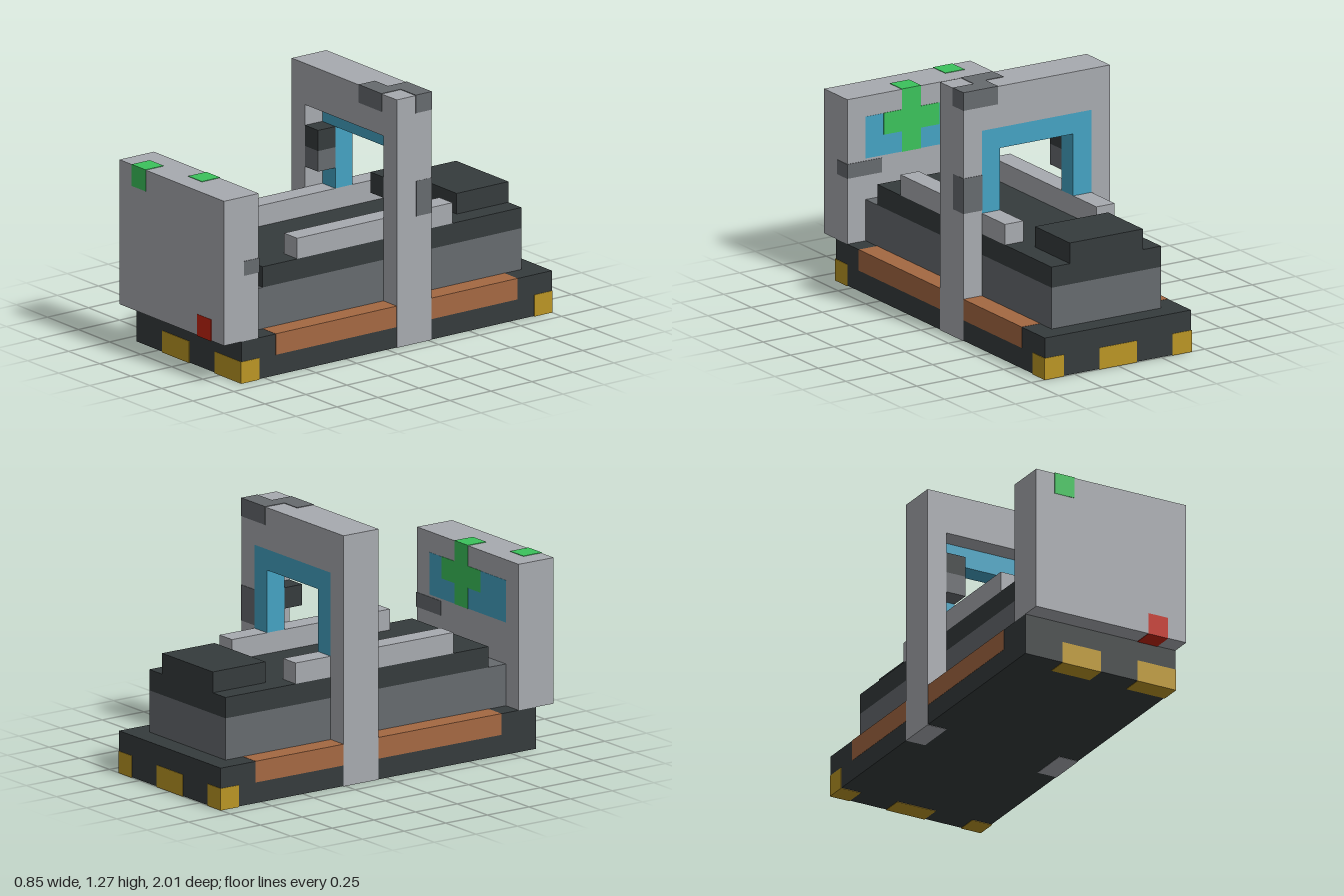
import * as THREE from 'three';

const U = 2 / 19; // one block of the grid

const paint = (name, color) => {
  const m = new THREE.MeshStandardMaterial({ color });
  m.name = name;
  return m;
};

export function createModel() {
  const group = new THREE.Group();
  const lightGrey = paint('lightGrey', 0xa7aaaf);
  const midGrey = paint('midGrey', 0x666a6e);
  const dark = paint('darkGrey', 0x353b3c);
  const copper = paint('copper', 0xa46842);
  const yellow = paint('yellow', 0xba9524);
  const cyan = paint('cyan', 0x44a2c2);
  const green = paint('green', 0x3bc25b);
  const red = paint('red', 0xc2240f);

  const add = (name, geometry, material) => {
    const mesh = new THREE.Mesh(geometry, material);
    mesh.name = name;
    group.add(mesh);
  };

  // Box between block coordinates; "grow" lifts painted patches off the surface
  const box = (name, material, [x0, x1], [y0, y1], [z0, z1], grow = 0) => {
    const g = new THREE.BoxGeometry(
      (x1 - x0 + 2 * grow) * U, (y1 - y0 + 2 * grow) * U, (z1 - z0 + 2 * grow) * U);
    g.translate((x0 + x1) / 2 * U, (y0 + y1) / 2 * U, (z0 + z1) / 2 * U);
    add(name, g, material);
  };
  const patch = (name, material, x, y, z) => box(name, material, x, y, z, 0.025);

  // Upside-down U, extruded along z
  const portal = (name, material, outer, inner, bottom, top, lintel, z0, z1) => {
    const pts = [[-outer, bottom], [-inner, bottom], [-inner, lintel], [inner, lintel],
      [inner, bottom], [outer, bottom], [outer, top], [-outer, top]];
    const shape = new THREE.Shape(pts.map(([x, y]) => new THREE.Vector2(x * U, y * U)));
    const g = new THREE.ExtrudeGeometry(shape, { depth: (z1 - z0) * U, bevelEnabled: false });
    g.translate(0, 0, z0 * U);
    add(name, g, material);
  };

  // Stepped bed
  box('base', dark, [-4, 4], [0, 2], [-9.5, 8.5]);
  box('bedBody', midGrey, [-3, 3], [2, 4], [-8.5, 7.5]);
  box('bedTop', dark, [-3, 3], [4, 5], [-8.5, 6.5]);
  box('rearBlock', dark, [-2, 2], [5, 6], [-8.5, -5.5]);

  // Rails and copper side strips, mirrored
  for (const s of [-1, 1]) {
    const span = (a, b) => (s > 0 ? [a, b] : [-b, -a]);
    box('rail', lightGrey, span(2, 3), [5, 6], [-4.5, 4.5]);
    box('rearSideStrip', copper, span(3, 4), [1, 2], [-7.5, -2.5], 0.01);
    box('frontSideStrip', copper, span(3, 4), [1, 2], [-0.5, 6.5], 0.01);
  }

  // Yellow base markings
  for (const x of [[-2, 0], [2, 4]]) patch('frontMarking', yellow, x, [0, 1], [7.5, 8.5]);
  for (const x of [[-4, -3], [-1, 1], [3, 4]]) patch('rearMarking', yellow, x, [0, 1], [-9.5, -8.5]);

  // Gantry with recessed cyan frame
  portal('gantry', lightGrey, 4.015, 3, -0.015, 12, 10, -2.5, -0.5);
  portal('gantryFrame', cyan, 3, 2, 6, 10, 9, -2.5, -1.5);

  // Small units hanging inside the gantry
  box('rightUnitTop', dark, [-3, -2], [8, 9], [-1.5, -0.5]);
  box('rightUnitBottom', midGrey, [-3, -2], [7, 8], [-1.5, -0.5]);
  box('leftUnit', dark, [2, 3], [7, 8], [-1.5, -0.5]);

  // Worn patches on the gantry
  patch('gantryTopWearFront', midGrey, [1.15, 2.85], [11.17, 12], [-1.4, -0.5]);
  patch('gantryTopWearRear', midGrey, [2.15, 4], [11.17, 12], [-2.5, -1.62]);
  patch('gantryTopWearJoin', midGrey, [2.15, 2.85], [11.3, 12], [-1.7, -1.3]);
  patch('gantrySideWear', midGrey, [3, 4], [6.17, 7.83], [-2.5, -1.65]);

  // Upright front panel with screen, cross, lamps and wear
  box('frontPanel', lightGrey, [-4, 4], [2, 9], [7.5, 9.5]);
  box('screen', cyan, [-3, 3], [6, 8], [7.5, 8], 0.012);
  patch('crossUpright', green, [0, 1], [6, 9], [7.5, 8.5]);
  patch('crossBar', green, [-1, 2], [7, 8], [7.5, 8]);
  patch('greenLamp', green, [-3, -2], [8, 9], [8.5, 9.5]);
  patch('redLamp', red, [2, 3], [2, 3], [8.5, 9.5]);
  patch('panelWear', midGrey, [2.15, 4], [5.2, 5.85], [7.5, 8.33]);

  return group;
}
